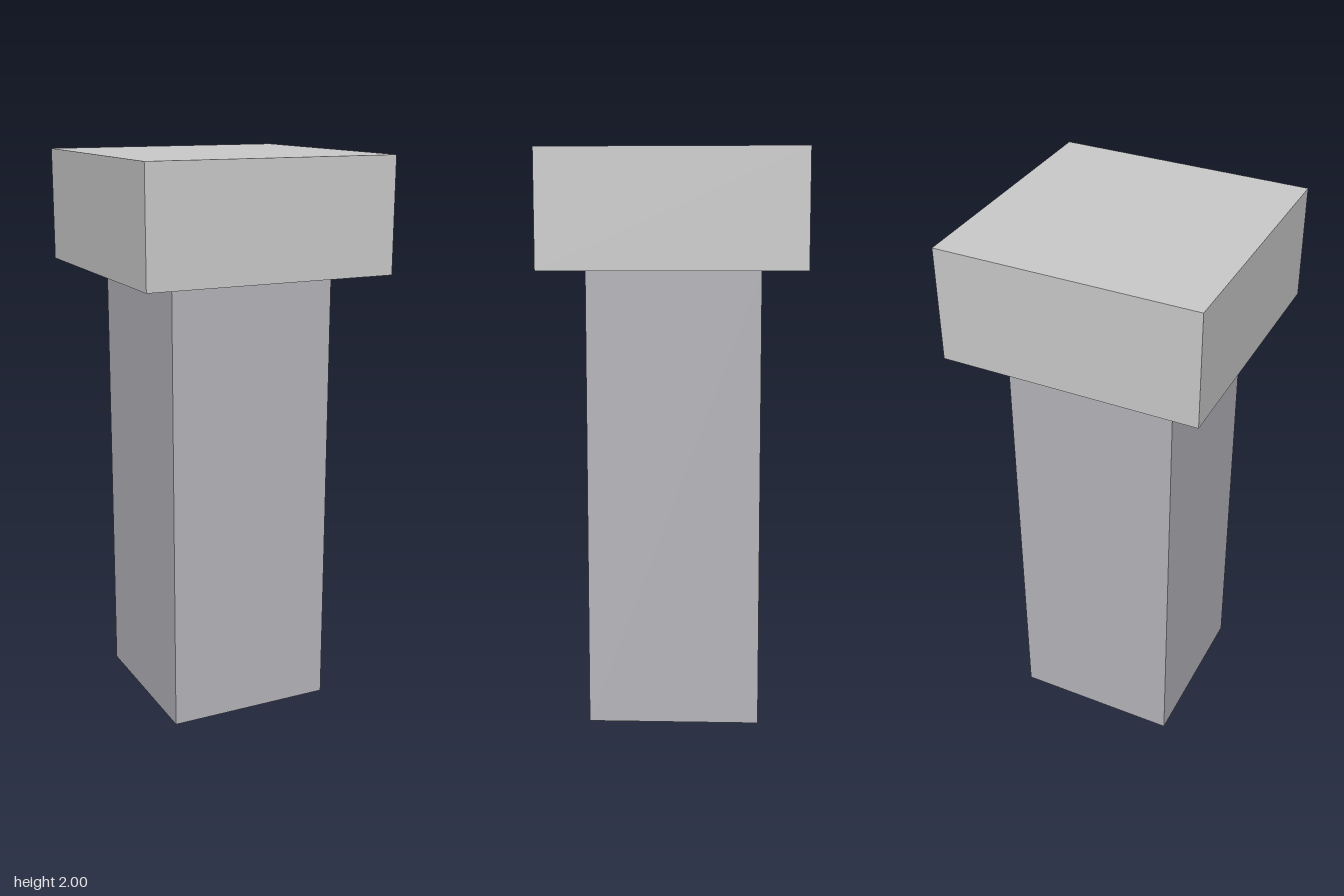
import * as THREE from 'three';

// Square block centred on the vertical axis, spanning bottom to top
function block(name, width, bottom, top, color) {
  const mesh = new THREE.Mesh(
    new THREE.BoxGeometry(width, top - bottom, width),
    new THREE.MeshStandardMaterial({ color })
  );
  mesh.name = name;
  mesh.position.y = (bottom + top) / 2;
  return mesh;
}

export function createModel() {
  const model = new THREE.Group();
  model.name = 'pillar';
  // Tall shaft with a wider cap resting on it
  model.add(
    block('shaft', 0.6, 0, 1.6, 0xb7b6bc),
    block('cap', 0.9, 1.6, 2, 0xcccccc)
  );
  return model;
}
